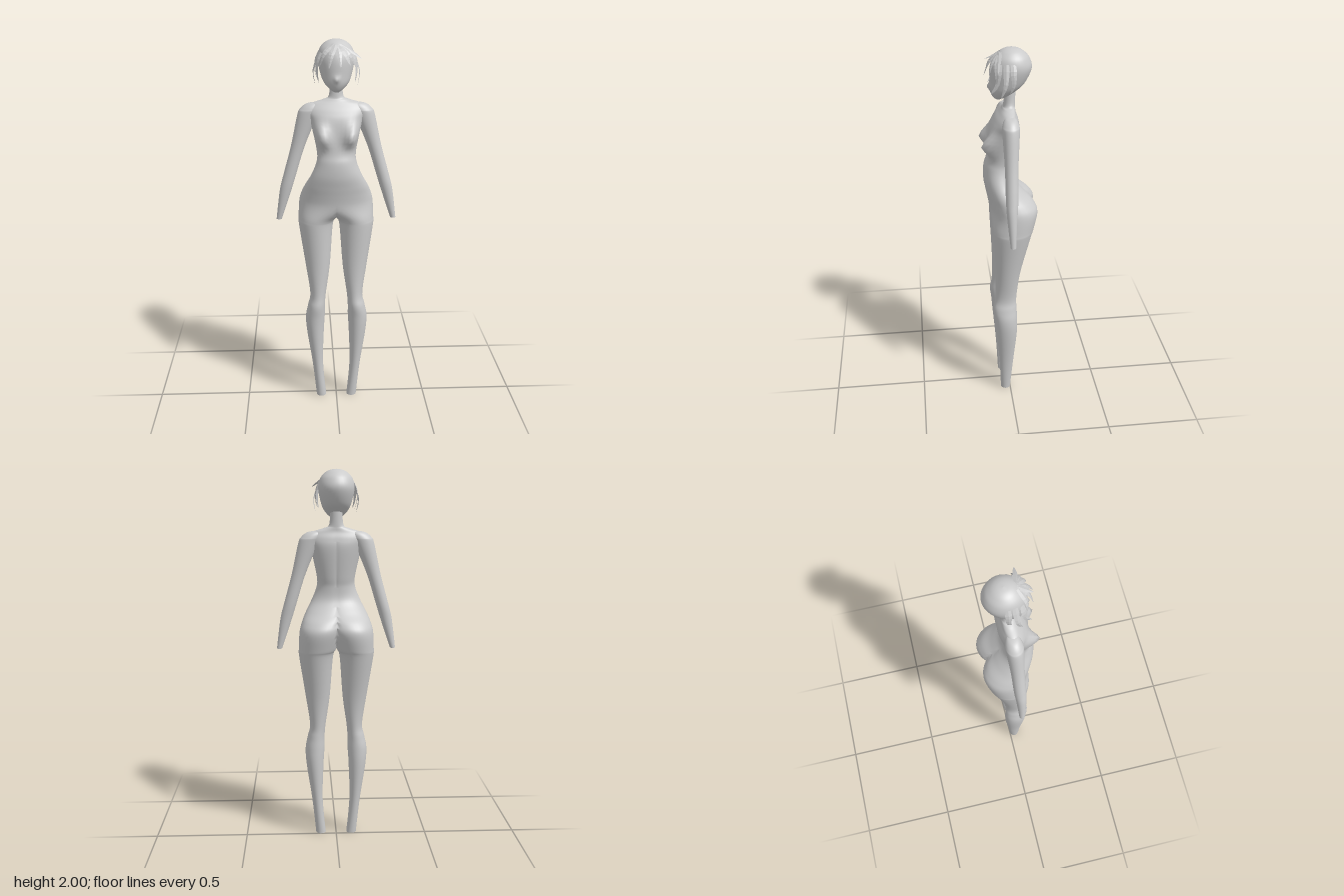
import * as THREE from 'three';

const N = 36; // points round each cross-section
const STEPS = 6; // rings between two given sections

// Catmull-Rom through rows of numbers
function smoothRows(rows) {
  const out = [];
  const at = (i) => rows[Math.min(rows.length - 1, Math.max(0, i))];
  for (let i = 0; i < rows.length - 1; i++) {
    for (let k = 0; k < STEPS; k++) {
      const t = k / STEPS, a = at(i - 1), b = at(i), c = at(i + 1), d = at(i + 2);
      out.push(b.map((v, n) => v + 0.5 * t * (c[n] - a[n]
        + t * (2 * a[n] - 5 * v + 4 * c[n] - d[n] + t * (3 * (v - c[n]) + d[n] - a[n])))));
    }
  }
  out.push(rows[rows.length - 1]);
  return out;
}

// One half of a part, side = 1 or -1, cut at the plane x = 0.
// Section: [y, outer x, centre x, front z, back z]; frontCentre moves the centre
// of the front half, bulge pushes the front forward.
function loftHalf(sections, side, bulge = () => 0, frontCentre = (c) => c) {
  const pos = [], index = [];
  const rows = smoothRows(sections);
  const tri = (a, b, c) => index.push(...(side > 0 ? [a, b, c] : [a, c, b]));
  rows.forEach(([y, outer, centre, zF, zB]) => {
    for (let j = 0; j < N; j++) {
      const t = (j / N) * Math.PI * 2, s = Math.sin(t);
      const c = s > 0 ? frontCentre(centre, y) : centre;
      let x = c + (outer - c) * Math.cos(t);
      if (x < 1e-5) x = 0;
      const z = (zF + zB) / 2 + s * (zF - zB) / 2 + bulge(x, y) * Math.min(1, Math.max(0, s * 2));
      pos.push(side * x, y, z);
    }
  });
  for (let i = 0; i < rows.length - 1; i++) {
    for (let j = 0; j < N; j++) {
      const a = i * N + j, b = i * N + (j + 1) % N;
      tri(a, a + N, b);
      tri(b, a + N, b + N);
    }
  }
  // flat cap under the first section
  const base = pos.length / 3;
  pos.push(...pos.slice(0, N * 3));
  pos.push(side * sections[0][2], sections[0][0], (sections[0][3] + sections[0][4]) / 2);
  for (let j = 0; j < N; j++) tri(base + N, base + j, base + (j + 1) % N);

  const g = new THREE.BufferGeometry();
  g.setAttribute('position', new THREE.Float32BufferAttribute(pos, 3));
  g.setIndex(index);
  g.computeVertexNormals();
  // keep the shading continuous over the middle seam
  const p = g.attributes.position, n = g.attributes.normal, v = new THREE.Vector3();
  for (let i = 0; i < base; i++) {
    if (p.getX(i) !== 0) continue;
    v.fromBufferAttribute(n, i).setX(0);
    if (v.length() > 1e-3) { v.normalize(); n.setXYZ(i, v.x, v.y, v.z); }
  }
  return g;
}

// Leg stump up through hip, waist and chest to the neck
const BODY = [
  [0.00, 0.112, 0.085, 0.053, 0.000],
  [0.20, 0.133, 0.104, 0.062, -0.016],
  [0.40, 0.162, 0.116, 0.078, -0.034],
  [0.50, 0.168, 0.116, 0.086, -0.036],
  [0.57, 0.155, 0.109, 0.093, -0.033],
  [0.64, 0.143, 0.100, 0.083, -0.033],
  [0.80, 0.165, 0.100, 0.081, -0.054],
  [1.02, 0.198, 0.108, 0.090, -0.106],
  [1.07, 0.200, 0.100, 0.093, -0.122],
  [1.16, 0.195, 0.082, 0.102, -0.142],
  [1.21, 0.182, 0.065, 0.110, -0.120],
  [1.26, 0.161, 0.035, 0.120, -0.070],
  [1.32, 0.130, 0.015, 0.130, -0.025],
  [1.39, 0.103, 0.015, 0.128, -0.018],
  [1.45, 0.102, 0.020, 0.112, -0.028],
  [1.59, 0.132, 0.025, 0.094, -0.050],
  [1.645, 0.150, 0.020, 0.072, -0.047],
  [1.68, 0.130, 0.010, 0.046, -0.035],
  [1.70, 0.070, 0, 0.032, -0.033],
  [1.72, 0.037, 0, 0.025, -0.033],
  [1.81, 0.032, 0, 0.020, -0.036],
];
// Wrist stump up to the rounded shoulder
const ARM = [
  [1.065, 0.317, 0.303, 0.023, -0.005],
  [1.22, 0.297, 0.267, 0.037, -0.015],
  [1.31, 0.275, 0.242, 0.040, -0.022],
  [1.46, 0.234, 0.198, 0.040, -0.027],
  [1.62, 0.199, 0.147, 0.046, -0.039],
  [1.655, 0.183, 0.130, 0.043, -0.038],
  [1.68, 0.150, 0.110, 0.028, -0.024],
  [1.687, 0.105, 0.100, 0.006, 0.000],
];
// Chin to crown
const HEAD = [
  [1.745, 0.012, 0, 0.064, 0.035],
  [1.76, 0.035, 0, 0.079, 0.005],
  [1.79, 0.062, 0, 0.091, -0.040],
  [1.83, 0.079, 0, 0.092, -0.082],
  [1.90, 0.093, 0, 0.089, -0.114],
  [1.95, 0.084, 0, 0.073, -0.102],
  [1.98, 0.060, 0, 0.045, -0.075],
  [1.995, 0.032, 0, 0.017, -0.047],
  [2.00, 0, 0, -0.015, -0.015],
];
const gauss = (dx, dy) => Math.exp(-dx * dx - dy * dy);
const chest = (x, y) => 0.058 * gauss((x - 0.078) / 0.036, (y - 1.52) / (y > 1.52 ? 0.06 : 0.042));
const nose = (x, y) => 0.013 * gauss(x / 0.012, (y - 1.812) / 0.016);
// the two thighs merge into one flat belly in front
const belly = (c, y) => c * (1 - THREE.MathUtils.smoothstep(y, 1.06, 1.17));

const HEAD_CENTRE = new THREE.Vector3(0, 1.88, -0.01);

// A flat, tapering lock of hair along a curve, facing away from the head
function lockGeometry(points, width) {
  const curve = new THREE.CatmullRomCurve3(points);
  const pos = [], index = [], M = 8;
  for (let i = 0; i <= M; i++) {
    const t = i / M, p = curve.getPoint(t), tan = curve.getTangent(t);
    const w = width * Math.min(1, 0.6 + t * 1.5) * Math.pow(1 - t, 0.6) + 0.0005;
    const across = new THREE.Vector3().crossVectors(tan, p.clone().sub(HEAD_CENTRE)).normalize();
    const out = new THREE.Vector3().crossVectors(across, tan).normalize();
    for (const [a, o] of [[1, 0], [0, 0.22], [-1, 0], [0, -0.12]]) {
      pos.push(...p.clone().addScaledVector(across, a * w).addScaledVector(out, o * w));
    }
    if (i === M) break;
    for (let j = 0; j < 4; j++) {
      const a = i * 4 + j, b = i * 4 + (j + 1) % 4;
      index.push(a, b, a + 4, b, b + 4, a + 4);
    }
  }
  const g = new THREE.BufferGeometry();
  g.setAttribute('position', new THREE.Float32BufferAttribute(pos, 3));
  g.setIndex(index);
  g.computeVertexNormals();
  return g;
}

// Lock k of three hanging beside the face, from the ear forwards
function sideLock(side, k) {
  const middle = k === 1 ? 1 : 0, z = -0.015 + 0.032 * k;
  return lockGeometry([
    new THREE.Vector3(side * (0.086 - 0.004 * k), 1.94, z),
    new THREE.Vector3(side * (0.103 - 0.004 * k), 1.90, z + 0.003 * k),
    new THREE.Vector3(side * (0.106 - 0.004 * k + 0.014 * middle), 1.845, z + 0.008 * k),
    new THREE.Vector3(side * (0.095 - 0.003 * k + 0.014 * middle), 1.80 - 0.02 * middle, z + 0.015 * (k + 1)),
  ], 0.018);
}

// Fringe lock from the parting, over the brow, to its tip
function fringeLock(tip) {
  const end = new THREE.Vector3(...tip);
  const root = new THREE.Vector3(end.x * 0.15, 1.98, 0.045);
  const brow = root.clone().lerp(end, 0.5).sub(HEAD_CENTRE).setLength(0.118).add(HEAD_CENTRE);
  return lockGeometry([root, brow, end], 0.019);
}
const FRINGE_TIPS = [
  [-0.088, 1.87, 0.07], [-0.04, 1.87, 0.11], [0.018, 1.875, 0.122],
  [0.065, 1.885, 0.1], [0.125, 1.91, 0.062], [0.095, 1.87, 0.07], [-0.025, 1.94, 0.112],
];

export function createModel() {
  const model = new THREE.Group();
  model.name = 'figure';
  const skin = new THREE.MeshStandardMaterial({ color: 0xcccccc });
  const hairMaterial = new THREE.MeshStandardMaterial({ color: 0xcccccc, flatShading: true, side: THREE.DoubleSide });
  const add = (parent, name, geometry, material) => {
    const mesh = new THREE.Mesh(geometry, material);
    mesh.name = name;
    parent.add(mesh);
  };
  const hair = new THREE.Group();
  hair.name = 'hair';
  model.add(hair);

  for (const side of [1, -1]) {
    const label = side > 0 ? 'left' : 'right';
    add(model, label + 'BodyAndLeg', loftHalf(BODY, side, chest, belly), skin);
    add(model, label + 'Arm', loftHalf(ARM, side), skin);
    add(model, label + 'Head', loftHalf(HEAD, side, nose), skin);
    for (let k = 0; k < 3; k++) add(hair, label + 'SideLock', sideLock(side, k), hairMaterial);
  }
  FRINGE_TIPS.forEach((tip) => add(hair, 'fringeLock', fringeLock(tip), hairMaterial));
  return model;
}
